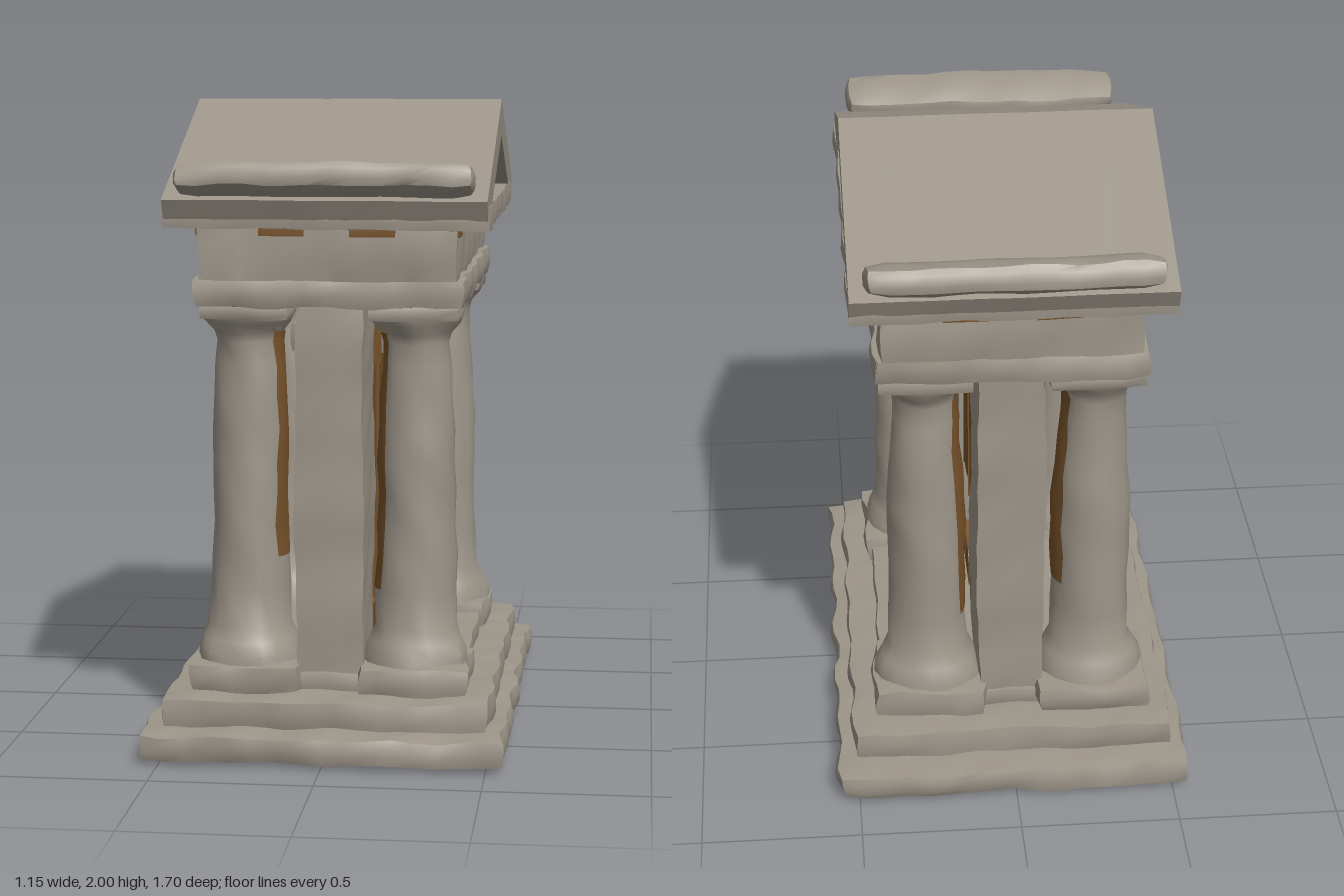
import * as THREE from 'three';
import { toCreasedNormals } from 'three/addons/utils/BufferGeometryUtils.js';

const stone = new THREE.MeshStandardMaterial({ color: 0x9d9589 });
stone.name = 'weathered stone';
const earth = new THREE.MeshStandardMaterial({ color: 0x77532a });
earth.name = 'brown core';

// Smooth bumps used to wear the stone, a function of position only
const bump = (x, y, z) =>
  0.5 * Math.sin(11 * x + 7 * z + 3 * y) * Math.cos(9 * z - 8 * y + 1) +
  0.5 * Math.sin(23 * z - 17 * x + 19 * y + 2) * Math.cos(21 * x + 13 * y);

// Push vertices about with the bumps, then shade with creased edges
function wear(geo, amp, at = [0, 0, 0], crease = 0.7) {
  const p = geo.attributes.position;
  for (let i = 0; i < p.count; i++) {
    const x = p.getX(i), y = p.getY(i), z = p.getZ(i);
    const [a, b, c] = [x + at[0], y + at[1], z + at[2]];
    p.setXYZ(i,
      x + amp * bump(a, b, c),
      y + amp * 0.6 * bump(b + 3, c, a),
      z + amp * bump(c, a + 5, b));
  }
  return toCreasedNormals(geo, crease);
}

// Worn block with rounded edges
function blockGeometry(w, h, d, r, amp, at) {
  const seg = (s) => Math.max(3, Math.round(s / 0.07));
  const geo = new THREE.BoxGeometry(w, h, d, seg(w), seg(h), seg(d));
  const p = geo.attributes.position;
  const half = new THREE.Vector3(w / 2 - r, h / 2 - r, d / 2 - r);
  const v = new THREE.Vector3(), inner = new THREE.Vector3();
  for (let i = 0; i < p.count; i++) {
    v.fromBufferAttribute(p, i);
    inner.copy(v).clamp(half.clone().negate(), half);
    v.sub(inner).setLength(r).add(inner);
    p.setXYZ(i, v.x, v.y, v.z);
  }
  return wear(geo, amp, at);
}

export function createModel() {
  const model = new THREE.Group();
  model.name = 'ruinedTemple';

  function add(name, geo, mat, x = 0, y = 0, z = 0) {
    const mesh = new THREE.Mesh(geo, mat);
    mesh.name = name;
    mesh.position.set(x, y, z);
    model.add(mesh);
    return mesh;
  }
  // Block given by its size, bottom height and centre
  function block(name, [w, h, d], x, y0, z, { r = 0.015, amp = 0.01, mat = stone } = {}) {
    const y = y0 + h / 2;
    return add(name, blockGeometry(w, h, d, r, amp, [x, y, z]), mat, x, y, z);
  }
  // Small bare patch of the brown core
  const patch = (name, size, x, y0, z) => block(name, size, x, y0, z, { r: 0.003, amp: 0.004, mat: earth });
  // Outline in z and y, extruded along x
  function alongX(name, points, x0, x1, mat, amp = 0) {
    const shape = new THREE.Shape(points.map(([z, y]) => new THREE.Vector2(-z, y)));
    const geo = new THREE.ExtrudeGeometry(shape, { depth: x1 - x0, steps: 12, bevelEnabled: false });
    geo.rotateY(Math.PI / 2);
    geo.translate(x0, 0, 0);
    return add(name, amp ? wear(geo, amp, [0, 0, 0], 0.5) : geo, mat);
  }

  // Stepped base
  block('lowerStep', [1.12, 0.092, 1.68], 0, 0.011, 0, { r: 0.025, amp: 0.018 });
  block('middleStep', [1.02, 0.1, 1.48], 0, 0.09, 0, { r: 0.02, amp: 0.014 });
  block('floor', [0.83, 0.07, 1.2], 0, 0.178, 0);

  // Columns: plinth, turned shaft with flared capital, abacus
  const profile = [[0.17, 0.25], [0.166, 0.3], [0.148, 0.34], [0.129, 0.38], [0.124, 0.5], [0.122, 0.6],
    [0.12, 0.7], [0.119, 0.8], [0.118, 0.9], [0.114, 1.0], [0.11, 1.1], [0.106, 1.2], [0.102, 1.27],
    [0.11, 1.3], [0.137, 1.33], [0.153, 1.37], [0.15, 1.4]];
  const turned = (points, grow, segments, start, sweep) => new THREE.LatheGeometry(
    points.map(([r, y]) => new THREE.Vector2(r + grow, y)), segments, start, sweep);
  for (const sx of [-1, 1]) for (const sz of [-1, 1]) {
    const x = sx * 0.262, z = sz * 0.466, at = [x, 0, z];
    block('columnPlinth', [0.35, 0.1, 0.35], x, 0.18, sz * 0.478, { r: 0.025, amp: 0.018 });
    add('column', wear(turned(profile, 0, 18, 0, 2 * Math.PI), 0.012, at), stone, x, 0, z);
    block('abacus', [0.29, 0.06, 0.29], x, 1.342, z + sz * 0.01, { r: 0.02 });
    // Bare strip down the side facing the pier, and a bare foot below it
    const inward = -sx * Math.PI / 2, middle = inward + sx * sz * 0.3;
    const strip = turned(profile.slice(sx < 0 ? 5 : 4, 14), 0.003, 4, middle - 0.35, 0.7);
    add('bareColumnStrip', wear(strip, 0.012, at), earth, x, 0, z);
    patch('bareFoot', [0.05, 0.07, 0.06], sx * 0.135, 0.25, sz * 0.47);
  }

  // Inner chamber: end walls standing between the columns
  for (const sz of [-1, 1])
    block('pier', [0.215, 1.155, 0.35], 0, 0.235, sz * 0.415, { r: 0.012, amp: 0.009 });
  // Brown lintel core with stone facings and cap
  block('lintelCore', [0.27, 0.15, 0.61], 0, 1.175, 0, { r: 0.008, amp: 0.005, mat: earth });
  block('lintelCap', [0.26, 0.07, 0.61], 0, 1.315, 0, { r: 0.012, amp: 0.006 });
  for (const sx of [-1, 1])
    block('lintel', [0.055, 0.1, 0.59], sx * 0.132, 1.207, 0, { r: 0.02, amp: 0.006 });

  // Brown door leaves, one of each pair broken through
  for (const sx of [-1, 1]) {
    const x0 = sx * 0.08 - 0.012, x1 = sx * 0.08 + 0.012;
    alongX('doorLeaf', [[-0.25, 0.24], [-0.04, 0.24], [-0.035, 0.7], [-0.045, 1.2], [-0.25, 1.2]], x0, x1, earth);
    alongX('brokenDoorUpper', [[0.25, 1.2], [0.035, 1.2], [0.03, 0.6], [0.04, 0.67], [0.12, 0.64],
      [0.2, 0.64], [0.25, 0.6]], x0, x1, earth);
    alongX('brokenDoorLower', [[0.25, 0.24], [0.03, 0.24], [0.03, 0.34], [0.06, 0.37], [0.08, 0.36],
      [0.15, 0.37], [0.17, 0.29], [0.19, 0.36], [0.25, 0.38]], x0, x1, earth);
  }

  // Entablature: ring of beams in two courses, with a ceiling
  for (const s of [-1, 1]) {
    block('longArchitrave', [0.22, 0.1, 1.26], s * 0.308, 1.382, 0, { r: 0.025, amp: 0.015 });
    block('longFrieze', [0.2, 0.165, 1.27], s * 0.297, 1.467, 0, { amp: 0.012 });
    block('shortArchitrave', [0.83, 0.1, 0.22], 0, 1.382, s * 0.525, { r: 0.025, amp: 0.015 });
    block('shortFrieze', [0.785, 0.165, 0.2], 0, 1.467, s * 0.535, { amp: 0.012 });
    // Bare patches along the top of the frieze
    for (const t of [-1, 1]) {
      patch('bareFriezeEnd', [0.14, 0.025, 0.05], t * 0.14, 1.605, s * 0.62);
      patch('bareFriezeSide', [0.05, 0.025, 0.1], s * 0.378, 1.605, t * 0.57);
    }
  }
  block('ceiling', [0.5, 0.05, 1.0], 0, 1.55, 0, { amp: 0.005 });
  block('cornice', [0.99, 0.075, 1.38], 0, 1.627, 0, { r: 0.012, amp: 0.008 });

  // Pitched roof, open under the ridge at both gables
  alongX('roof', [[0, 2], [0.72, 1.72], [0.69, 1.66], [0.47, 1.695], [0, 1.885],
    [-0.47, 1.695], [-0.69, 1.66], [-0.72, 1.72]], -0.49, 0.49, stone, 0.003);

  // Recessed gable walls with brown corners
  for (const s of [-1, 1]) {
    const x = s * 0.42;
    alongX('gableWall', [[0.34, 1.69], [0.3, 1.79], [0, 1.91], [-0.3, 1.79], [-0.34, 1.69]],
      x - 0.02, x + 0.02, stone);
    for (const t of [-1, 1]) {
      const corner = [[t * 0.5, 1.69], [t * 0.28, 1.69], [t * 0.28, 1.8]];
      alongX('gableCorner', corner, x - 0.015, x + 0.015, earth);
    }
  }

  // Upturned rolls along the eaves
  for (const s of [-1, 1]) {
    const roll = block('eaveRoll', [0.9, 0.095, 0.17], 0, 1.73, s * 0.69, { r: 0.04, amp: 0.013 });
    roll.rotation.x = -s * 0.36;
  }

  return model;
}
